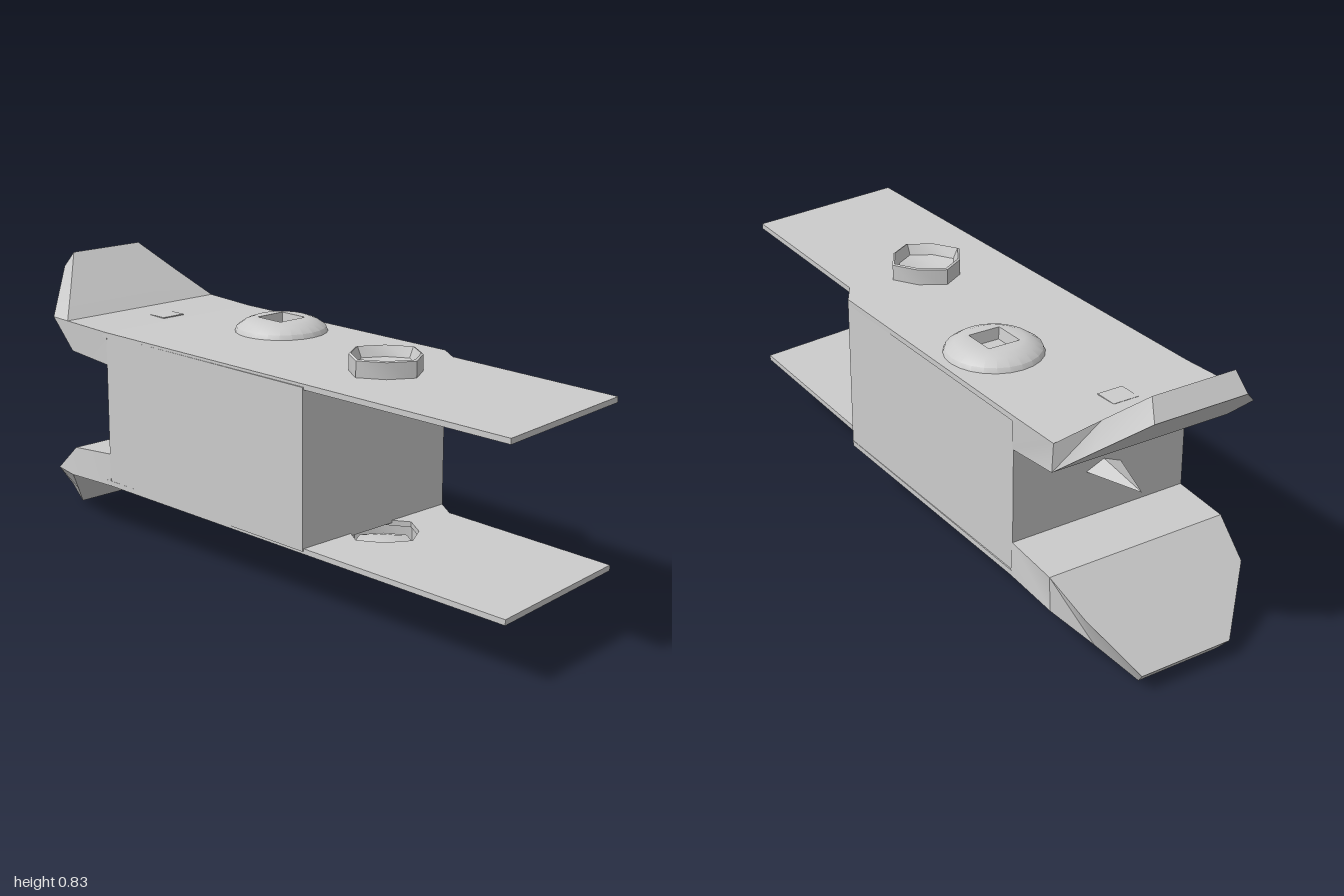
import * as THREE from 'three';
import { toCreasedNormals } from 'three/addons/utils/BufferGeometryUtils.js';

const MID = 0.42; // height of the mirror plane between the two plates

const material = new THREE.MeshStandardMaterial({ color: 0xcccccc, side: THREE.DoubleSide });

function part(name, geometry, x = 0, y = 0, z = 0) {
  const mesh = new THREE.Mesh(toCreasedNormals(geometry, 0.6), material);
  mesh.name = name;
  mesh.position.set(x, y, z);
  return mesh;
}

// Lathe whose vertices are scaled in plan by a rule of radius and angle
function shapedLathe(profile, segments, rule) {
  const geo = new THREE.LatheGeometry(profile.map(([r, y]) => new THREE.Vector2(r, y)), segments);
  const p = geo.attributes.position;
  for (let i = 0; i < p.count; i++) {
    const x = p.getX(i), z = p.getZ(i);
    const s = rule(Math.hypot(x, z), Math.atan2(z, x));
    p.setX(i, x * s);
    p.setZ(i, z * s);
  }
  return geo;
}

// Closed skin through four-cornered cross-sections
function loft(sections) {
  const pos = sections.flat(2), idx = [], n = sections.length;
  for (let s = 0; s < n - 1; s++) {
    for (let k = 0; k < 4; k++) {
      const a = s * 4 + k, b = s * 4 + (k + 1) % 4;
      idx.push(a, b, b + 4, a, b + 4, a + 4);
    }
  }
  const e = (n - 1) * 4;
  idx.push(0, 2, 1, 0, 3, 2, e, e + 1, e + 2, e, e + 2, e + 3);
  const geo = new THREE.BufferGeometry();
  geo.setAttribute('position', new THREE.Float32BufferAttribute(pos, 3));
  geo.setIndex(idx);
  return geo;
}

// Rounded diamond outline shared by the boss and its hole in the plate
const diamond = (a) => 0.94 + 0.06 * Math.cos(4 * a);
const BOSS = { x: 0.32, z: 0.013, r: 0.117 };

function createPlate() {
  const outline = [[-0.6, -0.288], [0.27, -0.285], [0.34, -0.24], [0.93, -0.225], [0.99, 0.275], [-0.6, 0.285]];
  const shape = new THREE.Shape(outline.map(([x, z]) => new THREE.Vector2(x, z)));
  const hole = [];
  for (let i = 0; i < 8; i++) {
    const a = (i * Math.PI) / 4, r = BOSS.r * 0.96 * diamond(a);
    hole.push(new THREE.Vector2(BOSS.x + r * Math.cos(a), BOSS.z + r * Math.sin(a)));
  }
  shape.holes.push(new THREE.Path(hole));
  const geo = new THREE.ExtrudeGeometry(shape, { depth: 0.016, bevelEnabled: false });
  return geo.rotateX(Math.PI / 2).translate(0, 0.661, 0);
}

function createFlare() {
  // outer x, y, back z, front z, then the same for the inner face
  const stations = [
    [-0.58, 0.661, -0.288, 0.285, -0.58, 0.56, -0.285, 0.282],
    [-0.77, 0.667, -0.293, 0.288, -0.755, 0.575, -0.286, 0.284],
    [-0.86, 0.75, -0.215, 0.205, -0.86, 0.664, -0.245, 0.275],
    [-0.955, 0.835, -0.14, 0.12, -1.0, 0.785, -0.165, 0.125],
  ];
  return loft(stations.map(([ox, oy, ob, of, ix, iy, ib, inf]) => [
    [ox, oy, ob], [ox, oy, of], [ix, iy, inf], [ix, iy, ib],
  ]));
}

function createSide() {
  const side = new THREE.Group();
  side.add(part('plate', createPlate()));
  side.add(part('flare', createFlare()));

  // Round dome with a square pit
  const dome = shapedLathe(
    [[0.143, 0.655], [0.135, 0.675], [0.11, 0.692], [0.085, 0.701], [0.05, 0.701], [0.045, 0.667], [0, 0.667]],
    24,
    (r, a) => (r < 0.06 ? 1 / Math.max(Math.abs(Math.cos(a)), Math.abs(Math.sin(a))) : 1)
  );
  side.add(part('dome', dome, -0.245, 0, -0.12));

  // Hollow diamond boss with a dished top
  const boss = shapedLathe(
    [[BOSS.r, 0.645], [BOSS.r, 0.708], [0.11, 0.711], [0.095, 0.68], [0.05, 0.67], [0, 0.667]],
    8,
    (r, a) => diamond(a)
  );
  side.add(part('boss', boss, BOSS.x, 0, BOSS.z));
  return side;
}

export function createModel() {
  const model = new THREE.Group();
  model.name = 'clampBlock';

  // Central block
  model.add(part('body', new THREE.BoxGeometry(0.855, 0.465, 0.568), -0.155, MID, 0));

  // Pointed spike between the flares
  const spike = new THREE.ConeGeometry(0.045, 0.17, 4).rotateZ(Math.PI / 2);
  spike.scale(1, 0.55, 1.3);
  model.add(part('spike', spike, -0.665, MID, 0.01));

  // Upper side and its mirrored lower copy
  const upper = createSide();
  upper.name = 'upperSide';
  const lower = createSide();
  lower.name = 'lowerSide';
  lower.scale.y = -1;
  lower.position.y = 2 * MID;
  model.add(upper, lower);

  // Small square studs
  model.add(part('upperStud', new THREE.BoxGeometry(0.07, 0.02, 0.08), -0.645, 0.655, 0));
  model.add(part('lowerStud', new THREE.CylinderGeometry(0.045, 0.04, 0.02, 5), 0.06, 0.185, -0.05));
  return model;
}
